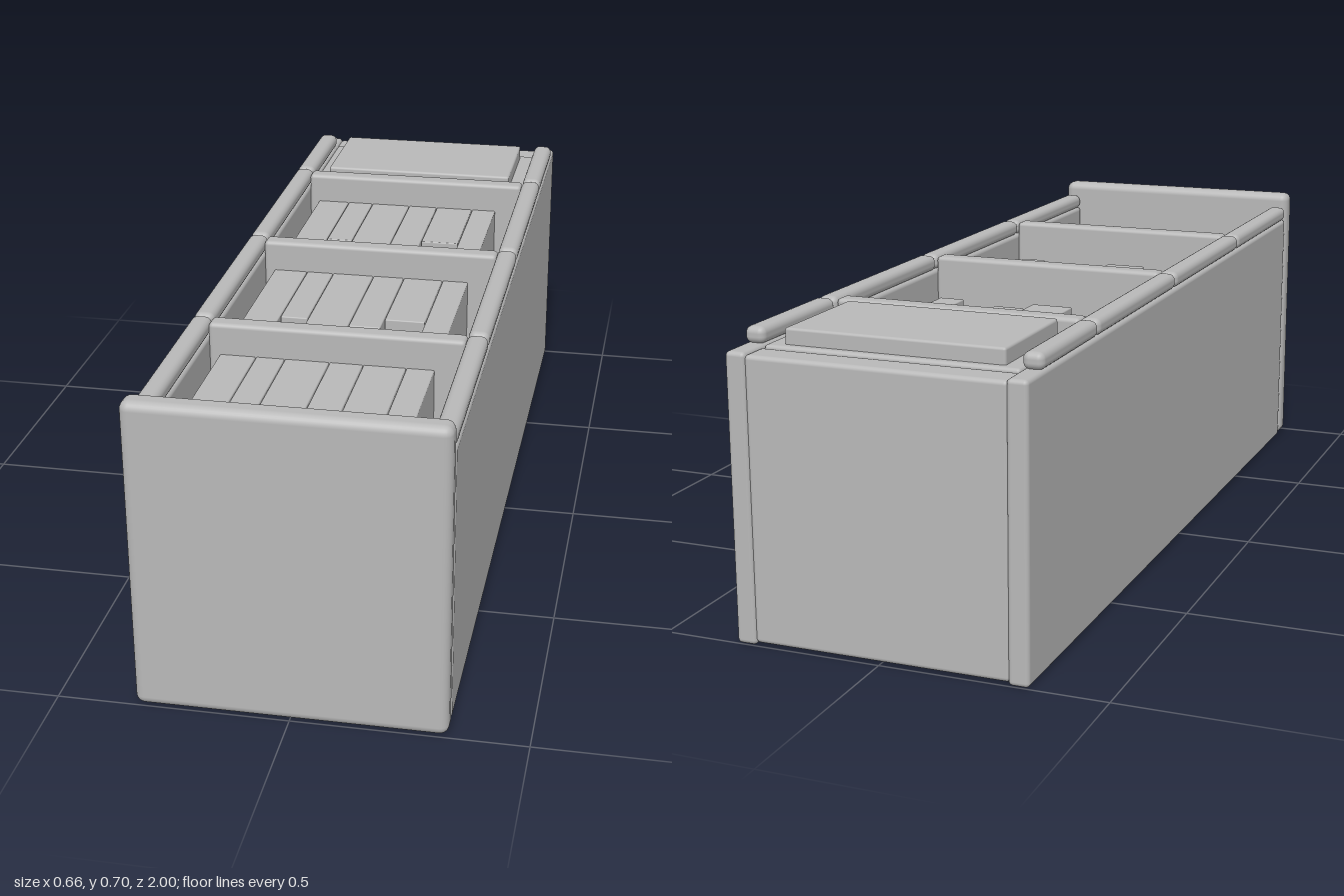
import * as THREE from 'three';
import { RoundedBoxGeometry } from 'three/addons/geometries/RoundedBoxGeometry.js';

export function createModel() {
  const model = new THREE.Group();
  model.name = 'bookDrawer';
  const grey = new THREE.MeshStandardMaterial({ color: 0xb8b8b8 });
  grey.name = 'plain grey';

  // Box given by its min and max on each axis, with softly rounded edges
  function box(name, [x0, x1], [y0, y1], [z0, z1], radius = 0.008) {
    const geo = radius > 0
      ? new RoundedBoxGeometry(x1 - x0, y1 - y0, z1 - z0, 3, radius)
      : new THREE.BoxGeometry(x1 - x0, y1 - y0, z1 - z0);
    const mesh = new THREE.Mesh(geo, grey);
    mesh.name = name;
    mesh.position.set((x0 + x1) / 2, (y0 + y1) / 2, (z0 + z1) / 2);
    model.add(mesh);
  }

  // Carcass
  box('frontPanel', [-0.332, 0.332], [0, 0.7], [0.942, 1], 0.02);
  box('backPanel', [-0.288, 0.288], [0.005, 0.625], [-0.997, -0.925], 0.01);
  box('floor', [-0.288, 0.288], [0.003, 0.045], [-0.99, 0.945]);

  // Side walls, each with a row of rounded rails on top
  const rails = [[0.455, 0.938], [-0.073, 0.453], [-0.602, -0.075], [-0.92, -0.604]];
  for (const side of [-1, 1]) {
    const label = side > 0 ? 'left' : 'right';
    const span = side > 0 ? [0.284, 0.33] : [-0.33, -0.284];
    box(label + 'Wall', span, [0, 0.63], [-1, 0.937], 0.01);
    rails.forEach((z, i) => box(label + 'Rail' + (i + 1), span, [0.628, 0.665], z, 0.015));
  }

  // Three compartments: a divider with a row of books against it
  const books = [
    [-0.26, -0.18, 0.36], [-0.178, -0.115, 0.31], [-0.113, -0.015, 0.385],
    [-0.013, 0.06, 0.335], [0.062, 0.155, 0.285], [0.157, 0.218, 0.375],
  ];
  [0.45, -0.075, -0.6].forEach((z, row) => {
    box('divider' + (row + 1), [-0.285, 0.285], [0.04, 0.662], [z, z + 0.046], 0.01);
    books.forEach(([x0, x1, depth], i) =>
      box(`book${row + 1}_${i + 1}`, [x0, x1], [0.04, 0.59], [z + 0.03, z + 0.025 + depth], 0.003));
  });

  // Closed rear compartment with a raised lid
  box('rearBlock', [-0.283, 0.283], [0.04, 0.63], [-0.922, -0.604]);
  box('rearLid', [-0.245, 0.245], [0.62, 0.665], [-0.903, -0.62], 0.006);

  return model;
}
